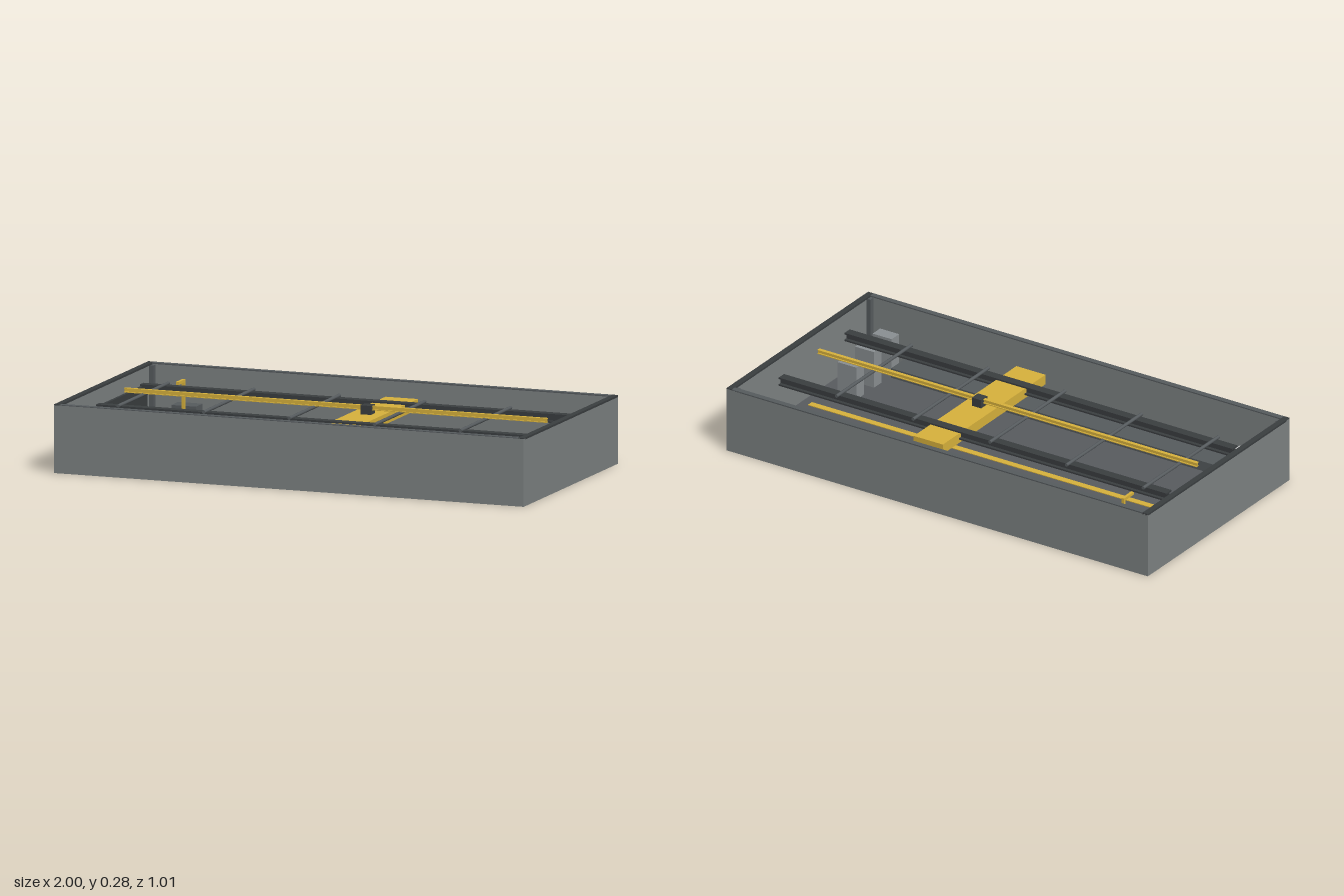
import * as THREE from 'three';

const paint = (color) => new THREE.MeshStandardMaterial({ color });
const WALL = paint(0x7d8282), FLOOR = paint(0x585b5f), DARK = paint(0x3a3e40);
const STEEL = paint(0x565b5e), CABINET = paint(0x8a8f92), YELLOW = paint(0xd8b23c);
const RED = paint(0xb04038), LIGHT = paint(0xc8c8c8);

export function createModel() {
  const hall = new THREE.Group();
  hall.name = 'hall';

  // Box given by its extents along each axis
  const box = (name, mat, [x0, x1], [y0, y1], [z0, z1]) => {
    const m = new THREE.Mesh(new THREE.BoxGeometry(x1 - x0, y1 - y0, z1 - z0), mat);
    m.position.set((x0 + x1) / 2, (y0 + y1) / 2, (z0 + z1) / 2);
    m.name = name;
    hall.add(m);
    return m;
  };

  // I-section beam along x
  const iBeam = (name, mat, length, w, h, x, y, z) => {
    const a = w / 2, b = h / 2, t = h * 0.18, k = w * 0.12;
    const pts = [[-a, -b], [a, -b], [a, -b + t], [k, -b + t], [k, b - t], [a, b - t],
      [a, b], [-a, b], [-a, b - t], [-k, b - t], [-k, -b + t], [-a, -b + t]];
    const shape = new THREE.Shape(pts.map(([u, v]) => new THREE.Vector2(u, v)));
    const geo = new THREE.ExtrudeGeometry(shape, { depth: length, bevelEnabled: false });
    geo.translate(0, 0, -length / 2).rotateY(Math.PI / 2);
    const m = new THREE.Mesh(geo, mat);
    m.position.set(x, y, z);
    m.name = name;
    hall.add(m);
  };

  // Shell: floor, four walls, rims and corner columns
  box('floor', FLOOR, [-0.995, 0.995], [0, 0.008], [-0.502, 0.502]);
  for (const s of [-1, 1]) {
    const span = (a, b) => (s > 0 ? [a, b] : [-b, -a]);
    box('longWall', WALL, [-1, 1], [0, 0.273], span(0.487, 0.507));
    box('endWall', WALL, span(0.98, 1), [0, 0.268], [-0.487, 0.487]);
    box('endWallRim', DARK, span(0.975, 1), [0.268, 0.276], [-0.507, 0.507]);
    box('longWallRim', STEEL, [-0.975, 0.975], [0.271, 0.276], span(0.483, 0.507));
    for (const t of [-1, 1]) {
      const z = t > 0 ? [0.465, 0.487] : [-0.487, -0.465];
      box('cornerColumn', STEEL, span(0.962, 0.98), [0.008, 0.268], z);
    }
    // Long low bench beside each long wall
    box('sideBench', STEEL, [-0.8, 0.8], [0.008, 0.05], span(0.37, 0.48));
    // Overhead runway beam
    iBeam('runwayBeam', DARK, 1.84, 0.038, 0.036, 0, 0.22, s * 0.235);
  }
  box('endDoor', DARK, [-0.98, -0.968], [0.008, 0.2], [-0.42, 0.41]);

  // Floor marking and overhead monorail
  box('floorStripe', YELLOW, [-0.94, 0.94], [0.008, 0.011], [-0.014, 0.014]);
  iBeam('monorail', YELLOW, 1.8, 0.016, 0.018, 0, 0.254, 0);

  // Cross tubes carrying the monorail
  for (let i = 0; i < 5; i++) {
    const tube = new THREE.Mesh(new THREE.CylinderGeometry(0.007, 0.007, 0.54, 12), STEEL);
    tube.rotation.x = Math.PI / 2;
    tube.position.set(-0.82 + i * 0.364, 0.241, 0);
    tube.name = 'crossTube';
    hall.add(tube);
  }

  // Travelling bridge with its hoist
  box('craneBridge', YELLOW, [0.064, 0.202], [0.187, 0.229], [-0.37, 0.365]);
  box('hoist', DARK, [0.113, 0.157], [0.225, 0.265], [-0.022, 0.022]);

  // Cabinets at the left end
  [[0.16, 0.15], [0.287, 0.165], [0.412, 0.17]].forEach(([z, h]) =>
    box('cabinet', CABINET, [0.808, 0.898], [0.008, h], [z - 0.027, z + 0.027]));

  // Machine corner with a small jib crane
  box('machine', STEEL, [-0.855, -0.75], [0.008, 0.13], [-0.46, -0.388]);
  box('machineUnit', STEEL, [-0.745, -0.665], [0.008, 0.1], [-0.42, -0.36]);
  for (const z of [-0.405, -0.375]) {
    box('machineUnitRib', DARK, [-0.745, -0.665], [0.1, 0.104], [z - 0.004, z + 0.004]);
  }
  box('redBin', RED, [-0.833, -0.77], [0.008, 0.1], [-0.357, -0.315]);
  box('jibPost', YELLOW, [-0.806, -0.794], [0.008, 0.235], [-0.386, -0.374]);
  box('jibArm', YELLOW, [-0.806, -0.794], [0.227, 0.239], [-0.386, -0.315]);

  // Small control desk by the front wall
  box('controlDesk', LIGHT, [-0.838, -0.8], [0.008, 0.12], [0.388, 0.452]);
  box('deskLever', RED, [-0.838, -0.765], [0.05, 0.06], [0.446, 0.454]);

  return hall;
}
